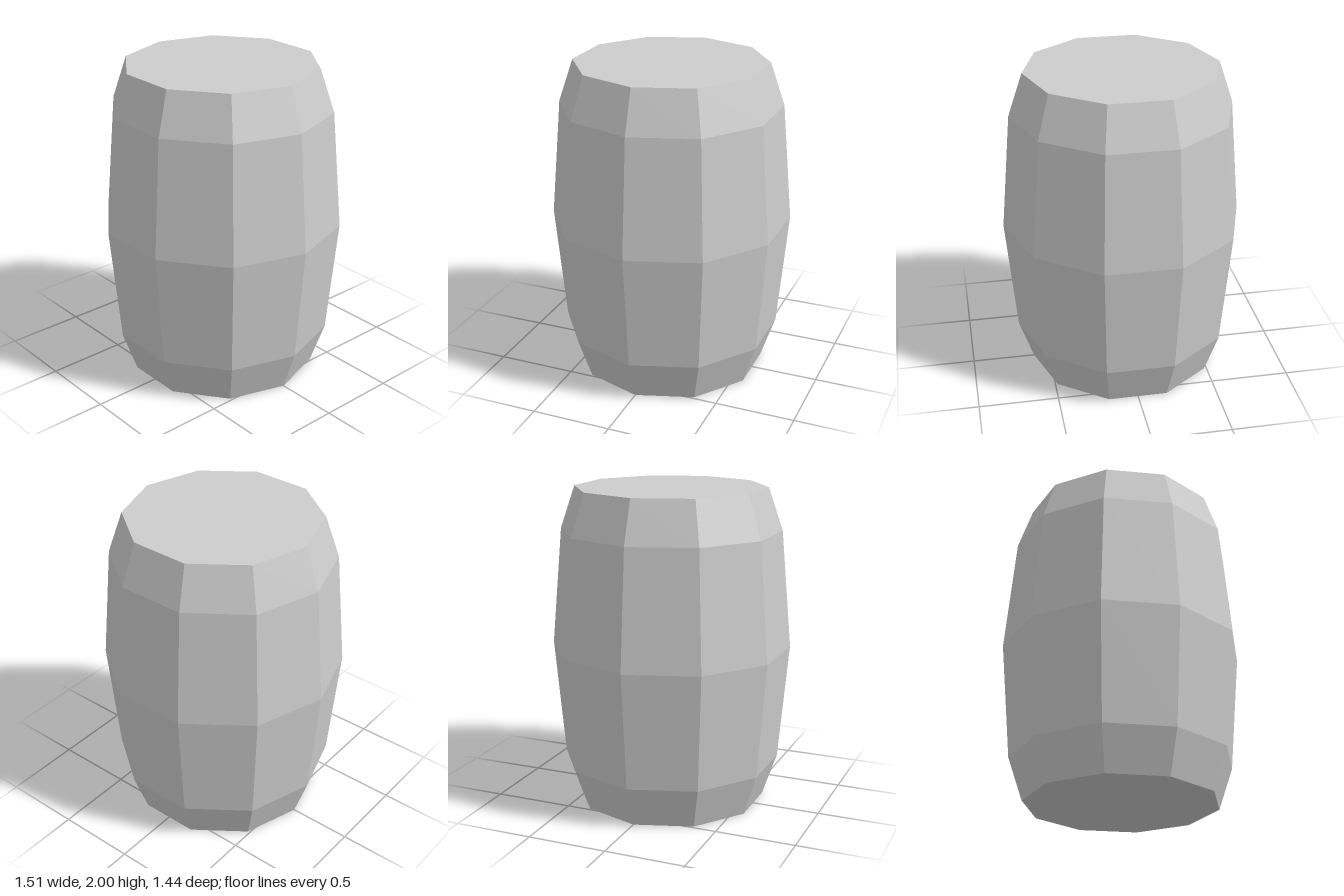
import * as THREE from 'three';

const SIDES = 10;

export function createModel() {
  const grey = new THREE.MeshStandardMaterial({ color: 0xcccccc, flatShading: true });
  grey.name = 'plain grey';

  const barrel = new THREE.Group();
  barrel.name = 'barrel';

  const add = (name, geometry) => {
    const mesh = new THREE.Mesh(geometry, grey);
    mesh.name = name;
    barrel.add(mesh);
    return mesh;
  };

  // Bulging ten-sided wall, with corners on the x axis
  const profile = [[0.6, 0], [0.69, 0.265], [0.755, 1], [0.69, 1.735], [0.6, 2]]
    .map(([r, y]) => new THREE.Vector2(r, y));
  const wall = new THREE.LatheGeometry(profile, SIDES, Math.PI / SIDES).toNonIndexed();
  wall.computeVertexNormals();
  add('wall', wall);

  // Flat ends
  const end = new THREE.CircleGeometry(0.6, SIDES);
  const lid = add('lid', end);
  lid.rotation.x = -Math.PI / 2;
  lid.position.y = 2;
  add('base', end).rotation.x = Math.PI / 2;

  return barrel;
}
